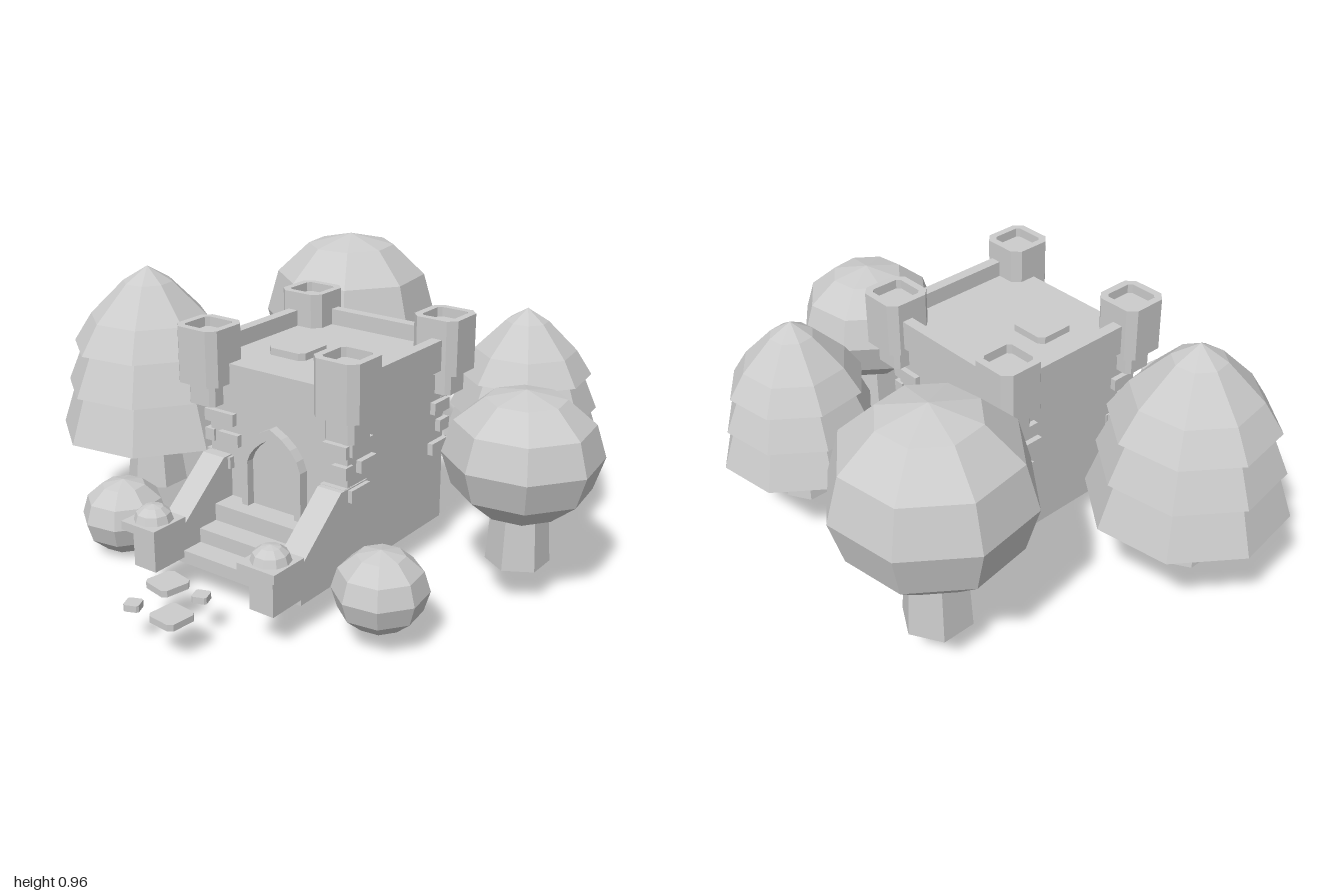
import * as THREE from 'three';

const mat = new THREE.MeshStandardMaterial({ color: 0xcccccc, flatShading: true });
const CX = 0.053, CZ = 0.058; // keep centre
const TWIST = -0.25;

export function createModel() {
  const root = new THREE.Group();

  const add = (name, geo, x = 0, y = 0, z = 0, ry = 0, parent = root) => {
    const m = new THREE.Mesh(geo, mat);
    m.name = name;
    m.position.set(x, y, z);
    m.rotation.y = ry;
    parent.add(m);
    return m;
  };
  // box given by its min and max corners
  const box = (name, x0, x1, y0, y1, z0, z1) =>
    add(name, new THREE.BoxGeometry(x1 - x0, y1 - y0, z1 - z0), (x0 + x1) / 2, (y0 + y1) / 2, (z0 + z1) / 2);
  // square with cut corners
  const cutSquare = (h, c, Type = THREE.Shape) => {
    const k = h - c;
    return new Type([[h, -k], [h, k], [k, h], [-k, h], [-h, k], [-h, -k], [-k, -h], [k, -h]]
      .map(([x, y]) => new THREE.Vector2(x, y)));
  };
  const slab = (shape, height) =>
    new THREE.ExtrudeGeometry(shape, { depth: height, bevelEnabled: false }).rotateX(-Math.PI / 2);

  // Tapered six-sided trunk
  const trunk = (parent, rTop, rBottom, height) =>
    add('trunk', new THREE.CylinderGeometry(rTop, rBottom, height, 6), 0, height / 2, 0, 0, parent);

  const ball = (r, h) => new THREE.SphereGeometry(r, 8, 6).scale(1, h / r, 1);

  // Round trees: x, z, crown radius, half height, crown centre, trunk radius
  for (const [x, z, r, h, y, t] of [[-0.365, -0.655, 0.333, 0.315, 0.645, 0.12], [0.745, -0.045, 0.26, 0.218, 0.5, 0.105]]) {
    const tree = new THREE.Group();
    tree.name = 'roundTree';
    tree.position.set(x, 0.13, z);
    trunk(tree, t * 0.75, t, y - 0.13);
    add('crown', ball(r, h), 0, y - 0.13, 0, TWIST, tree);
    root.add(tree);
  }

  // Tiered conifers, profile from underside to tip
  const tiers = [[0, 0.215], [0.342, 0.215], [0.285, 0.383], [0.312, 0.383], [0.248, 0.533],
    [0.282, 0.533], [0.215, 0.637], [0.09, 0.762], [0, 0.817]].map(([r, y]) => new THREE.Vector2(r, y));
  for (const [x, z, s] of [[-0.67, 0.165, 1], [0.465, -0.567, 0.84]]) {
    const tree = new THREE.Group();
    tree.name = 'conifer';
    tree.position.set(x, 0.13, z);
    tree.scale.setScalar(s);
    trunk(tree, 0.082, 0.112, 0.23);
    add('foliage', new THREE.LatheGeometry(tiers, 8), 0, 0, 0, TWIST, tree);
    root.add(tree);
  }

  // Bushes
  add('bush', ball(0.152, 0.133), -0.53, 0.133, 0.475, TWIST);
  add('bush', ball(0.152, 0.133), 0.564, 0.19, 0.484, TWIST);

  // Keep and parapet, open at the front
  const H = 0.283, P = 0.323;
  box('keep', CX - H, CX + H, 0.105, 0.73, CZ - H, CZ + H);
  box('backParapet', CX - P, CX + P, 0.68, 0.787, CZ - P, CZ - H);
  for (const s of [-1, 1]) {
    const a = CX + s * H, b = CX + s * P;
    box('sideParapet', Math.min(a, b), Math.max(a, b), 0.68, 0.787, CZ - P, CZ + H);
  }
  add('roofHatch', slab(cutSquare(0.075, 0.018), 0.025), -0.035, 0.73, 0.11);

  // Corner turrets with hollow tops
  const rim = cutSquare(0.086, 0.028);
  rim.holes.push(cutSquare(0.06, 0.012, THREE.Path));
  for (const sx of [-1, 1]) for (const sz of [-1, 1]) {
    const x = CX + sx * 0.281, z = CZ + sz * 0.281;
    add('turretNeck', slab(cutSquare(0.056, 0.015), 0.08), x, 0.583, z);
    add('turret', slab(cutSquare(0.086, 0.028), 0.16), x, 0.66, z);
    add('turretRim', slab(rim, 0.033), x, 0.82, z);
  }

  // Raised bricks on the walls: start and end along the wall, height
  const bricks = [[-0.285, -0.17, 0.54], [-0.235, -0.15, 0.47], [-0.285, -0.185, 0.385],
    [0.2, 0.292, 0.535], [0.235, 0.292, 0.465], [0.19, 0.285, 0.39]];
  for (let side = 0; side < 4; side++) {
    const wall = new THREE.Group();
    wall.name = 'wallBricks';
    wall.position.set(CX, 0, CZ);
    wall.rotation.y = side * Math.PI / 2;
    for (const [a, b, y] of bricks)
      add('brick', new THREE.BoxGeometry(b - a, 0.042, 0.04), (a + b) / 2, y, H, 0, wall);
    root.add(wall);
  }

  // Pointed door arch and recessed door leaf
  const arch = (Type, w, spring, top) => {
    const s = new Type();
    s.moveTo(-w, 0.25);
    s.lineTo(w, 0.25);
    s.lineTo(w, spring);
    s.quadraticCurveTo(w * 0.85, top - 0.045, 0, top);
    s.quadraticCurveTo(-w * 0.85, top - 0.045, -w, spring);
    s.closePath();
    return s;
  };
  const frame = arch(THREE.Shape, 0.123, 0.43, 0.555);
  frame.holes.push(arch(THREE.Path, 0.097, 0.42, 0.52));
  const arcOpts = d => ({ depth: d, bevelEnabled: false, curveSegments: 4 });
  add('doorFrame', new THREE.ExtrudeGeometry(frame, arcOpts(0.045)), CX, 0, 0.332);
  add('door', new THREE.ExtrudeGeometry(arch(THREE.Shape, 0.1, 0.42, 0.525), arcOpts(0.02)), CX, 0, 0.327);

  // Steps up to the door
  [[0.43, 0.26], [0.51, 0.2], [0.59, 0.15]].forEach(([z, y]) =>
    box('step', CX - 0.2, CX + 0.2, 0.105, y, 0.3, z));

  // Sloped stair walls ending in posts with domed caps
  const slope = new THREE.Shape([[-0.24, 0.105], [-0.24, 0.41], [-0.38, 0.41], [-0.59, 0.235], [-0.59, 0.105]]
    .map(([x, y]) => new THREE.Vector2(x, y)));
  const rampGeo = new THREE.ExtrudeGeometry(slope, { depth: 0.092, bevelEnabled: false })
    .translate(0, 0, -0.046).rotateY(Math.PI / 2);
  for (const s of [-1, 1]) {
    add('stairWall', rampGeo, CX + s * 0.242, 0, 0);
    const x = CX + s * 0.242;
    box('post', x - 0.046, x + 0.046, 0.125, 0.26, 0.58, 0.725);
    box('postCap', x - 0.072, x + 0.072, 0.255, 0.285, 0.605, 0.75);
    add('postDome', new THREE.SphereGeometry(0.065, 10, 3, 0, Math.PI * 2, 0, Math.PI / 2).scale(1, 0.8, 1), x, 0.285, 0.675);
  }

  // Stepping stones
  for (const [x, z, h, a] of [[-0.05, 0.767, 0.054, -0.2], [0.103, 0.912, 0.053, -0.1], [0.091, 0.767, 0.025, 0.35], [-0.041, 0.928, 0.025, 0.4]])
    add('steppingStone', slab(cutSquare(h, h * 0.25), 0.022), x, 0.122, z, a);

  return root;
}
